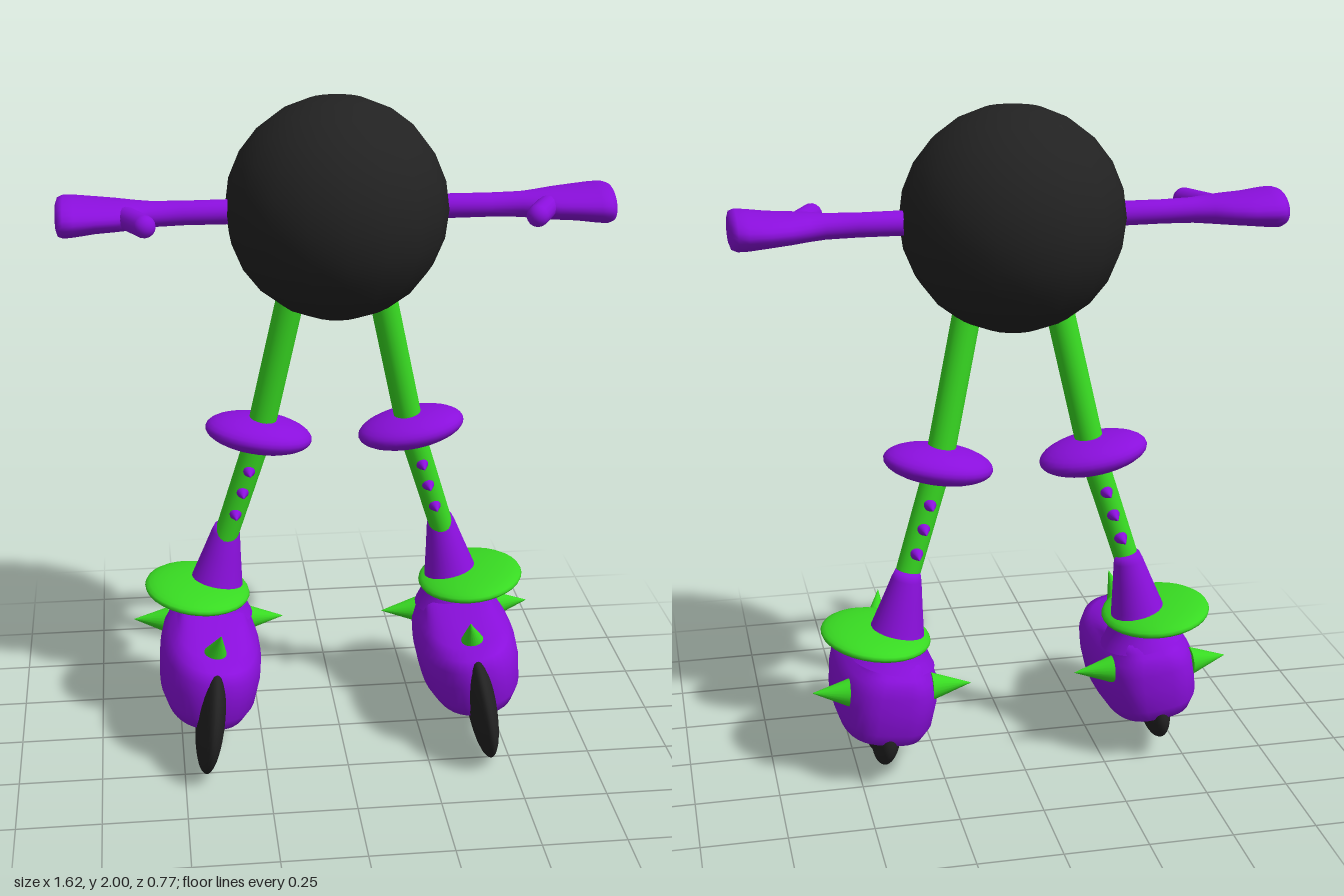
import * as THREE from 'three';

const UP = new THREE.Vector3(0, 1, 0);
const black = new THREE.MeshStandardMaterial({ color: 0x222222 });
const purple = new THREE.MeshStandardMaterial({ color: 0x8a0fdc });
const green = new THREE.MeshStandardMaterial({ color: 0x38da22 });
black.name = 'black';
purple.name = 'purple';
green.name = 'green';

function add(parent, name, geometry, material, pos = [0, 0, 0], tilt = 0) {
  const mesh = new THREE.Mesh(geometry, material);
  mesh.name = name;
  mesh.position.set(...pos);
  mesh.rotation.z = tilt;
  parent.add(mesh);
  return mesh;
}

// Ellipsoid with the given half sizes
function ellipsoid(rx, ry, rz) {
  return new THREE.SphereGeometry(1, 32, 16).scale(rx, ry, rz);
}

// Cylinder, cone or capsule running from point a to point b
function between(parent, name, material, a, b, ra, rb, round = false) {
  const start = new THREE.Vector3(...a);
  const dir = new THREE.Vector3(...b).sub(start);
  const length = dir.length();
  const geometry = round
    ? new THREE.CapsuleGeometry(ra, length, 6, 16)
    : new THREE.CylinderGeometry(rb, ra, length, 20);
  const mesh = add(parent, name, geometry, material);
  mesh.position.copy(start).addScaledVector(dir, 0.5);
  mesh.quaternion.setFromUnitVectors(UP, dir.normalize());
  return mesh;
}

// Skin over stacked outlines: [height, half width, back z, front z]
function loft(layers, backPower, frontPower, sides = 40) {
  const positions = [];
  const index = [];
  layers.forEach(([y, hw, zb, zf], i) => {
    for (let j = 0; j < sides; j++) {
      const a = (j / sides) * Math.PI * 2;
      const c = Math.cos(a), s = Math.sin(a);
      const e = 2 / (s < 0 ? backPower : frontPower);
      const x = Math.sign(c) * Math.abs(c) ** e * hw;
      const z = (zb + zf) / 2 + Math.sign(s) * Math.abs(s) ** e * (zf - zb) / 2;
      positions.push(x, y, z);
      if (i < layers.length - 1) {
        const p = i * sides + j, q = i * sides + (j + 1) % sides;
        index.push(p, p + sides, q, q, p + sides, q + sides);
      }
    }
  });
  const geometry = new THREE.BufferGeometry();
  geometry.setAttribute('position', new THREE.Float32BufferAttribute(positions, 3));
  geometry.setIndex(index);
  geometry.computeVertexNormals();
  return geometry;
}

function createArm() {
  const arm = new THREE.Group();
  arm.name = 'arm';
  // Arm widening into a flat mitten
  const mitten = loft([
    [0.25, 0, -0.055, -0.055],
    [0.25, 0.036, -0.095, -0.015],
    [0.45, 0.035, -0.095, -0.015],
    [0.54, 0.037, -0.1, -0.005],
    [0.59, 0.041, -0.125, 0.025],
    [0.64, 0.044, -0.155, 0.045],
    [0.7, 0.048, -0.175, 0.055],
    [0.76, 0.055, -0.18, 0.068],
    [0.79, 0.057, -0.174, 0.07],
    [0.806, 0.052, -0.155, 0.055],
    [0.812, 0.035, -0.12, 0.02],
    [0.812, 0, -0.055, -0.055],
  ], 2, 2, 24);
  mitten.rotateZ(-Math.PI / 2);
  add(arm, 'armAndHand', mitten, purple, [0, 1.672, 0]);
  between(arm, 'thumb', purple, [0.61, 1.675, 0], [0.562, 1.675, 0.1], 0.033, 0.033, true);
  return arm;
}

function createLeg() {
  const leg = new THREE.Group();
  leg.name = 'leg';
  const hip = [0.138, 1.4, -0.07], knee = [0.233, 0.96, -0.11], ankle = [0.352, 0.58, -0.142];
  between(leg, 'upperLeg', green, hip, knee, 0.042, 0.042);
  between(leg, 'lowerLeg', green, knee, ankle, 0.04, 0.037);
  add(leg, 'kneePad', ellipsoid(0.165, 0.055, 0.125), purple, [0.235, 0.962, -0.115], 0.17);

  // Studs on the front and back of the shin
  for (const [x, y, z] of [[0.268, 0.848, -0.12], [0.289, 0.776, -0.126], [0.312, 0.702, -0.133]]) {
    for (const side of [-1, 1]) {
      between(leg, 'shinStud', purple, [x, y, z + side * 0.025], [x, y, z + side * 0.083], 0.022, 0.002);
    }
  }

  // Flared boot cuff
  const cuff = [[0.13, 0], [0.112, 0.025], [0.09, 0.06], [0.078, 0.11], [0.06, 0.19],
    [0.045, 0.26], [0.038, 0.283], [0, 0.288]].map(([r, y]) => new THREE.Vector2(r, y));
  add(leg, 'bootCuff', new THREE.LatheGeometry(cuff, 28), purple, [0.39, 0.365, -0.15], 0.19);
  add(leg, 'ankleDisc', ellipsoid(0.165, 0.036, 0.188), green, [0.435, 0.44, -0.132], 0.12);

  // Tilted boot with its row of wheels
  const skate = new THREE.Group();
  skate.name = 'skate';
  skate.position.set(0.405, 0.25, 0);
  skate.rotation.z = 0.14;
  leg.add(skate);
  add(skate, 'boot', loft([
    [-0.122, 0, -0.02, -0.02],
    [-0.122, 0.1, -0.24, 0.2],
    [-0.11, 0.13, -0.28, 0.24],
    [-0.07, 0.15, -0.3, 0.262],
    [0.0, 0.156, -0.305, 0.268],
    [0.05, 0.152, -0.305, 0.268],
    [0.085, 0.135, -0.3, 0.252],
    [0.102, 0.115, -0.287, 0.2],
    [0.118, 0.105, -0.275, 0.06],
    [0.14, 0.09, -0.255, -0.03],
    [0.14, 0, -0.14, -0.14],
  ], 3, 2.4), purple);
  for (const [name, y, z, r, w] of [
    ['frontWheel', -0.083, 0.208, 0.172, 0.042],
    ['middleWheel', -0.117, -0.045, 0.115, 0.042],
    ['backWheel', -0.11, -0.2, 0.092, 0.042],
  ]) add(skate, name, ellipsoid(w, r, r), black, [0, y, z]);

  // Boot spikes
  between(leg, 'outerSpike', green, [0.53, 0.295, -0.21], [0.637, 0.303, -0.21], 0.042, 0.001);
  between(leg, 'innerSpike', green, [0.28, 0.29, -0.21], [0.162, 0.29, -0.21], 0.042, 0.001);
  between(leg, 'toeSpike', green, [0.4, 0.325, 0.14], [0.378, 0.437, 0.208], 0.046, 0.001);
  return leg;
}

export function createModel() {
  const model = new THREE.Group();
  model.name = 'skatingBall';
  const ball = new THREE.SphereGeometry(0.328, 18, 12).rotateY(Math.PI / 2);
  add(model, 'body', ball, black, [0, 1.672, -0.064]);
  for (const side of [1, -1]) {
    const limbs = new THREE.Group();
    limbs.name = side > 0 ? 'leftLimbs' : 'rightLimbs';
    limbs.scale.x = side;
    limbs.add(createArm(), createLeg());
    model.add(limbs);
  }
  return model;
}
